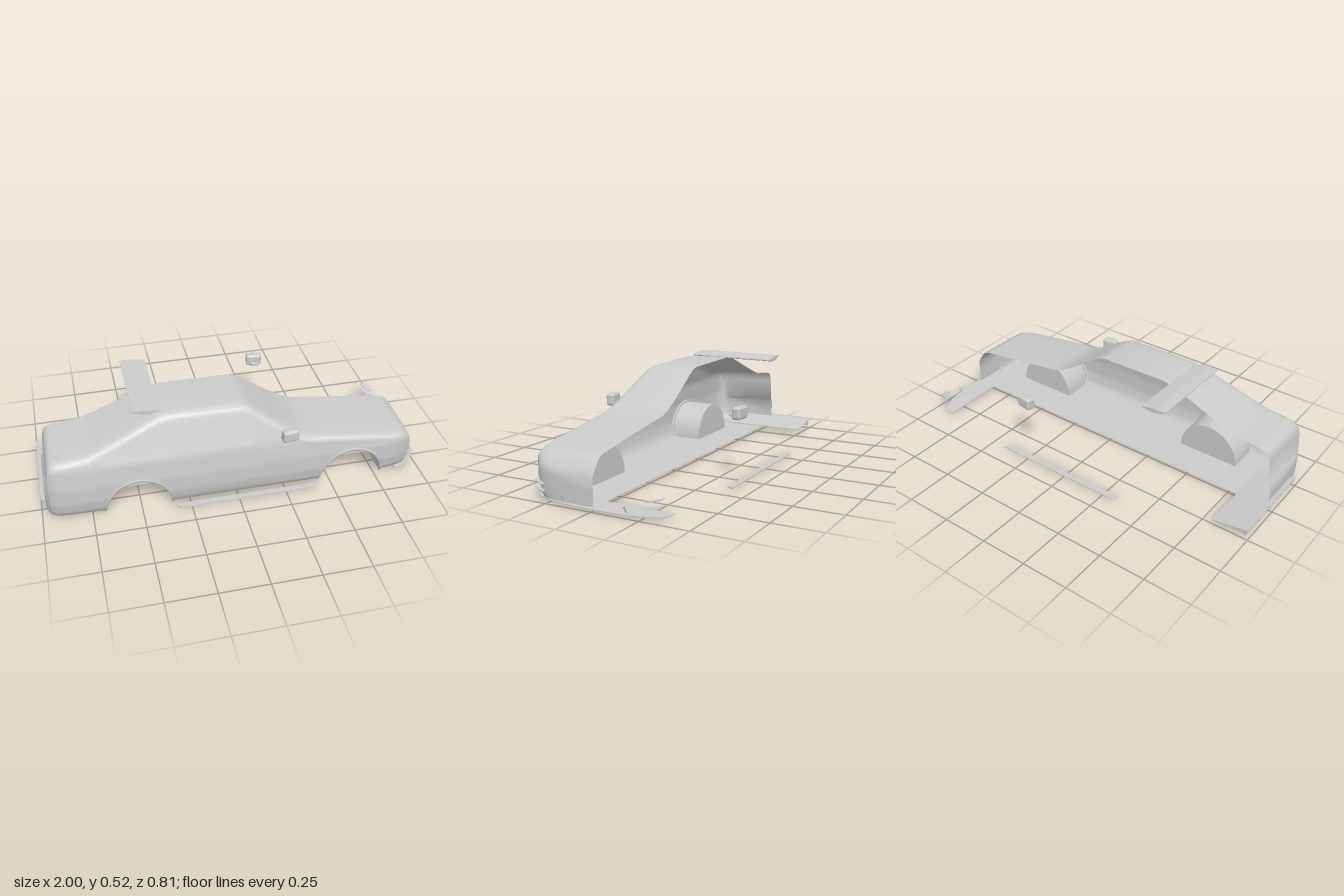
import * as THREE from 'three';
import { toCreasedNormals } from 'three/addons/utils/BufferGeometryUtils.js';
import { RoundedBoxGeometry } from 'three/addons/geometries/RoundedBoxGeometry.js';

const material = new THREE.MeshStandardMaterial({ color: 0xcccccc, side: THREE.DoubleSide });

// Body rules: centre-line height along x, plan taper along x, half width by height
const TOP = [[-0.975, 0.15], [-0.962, 0.168], [-0.953, 0.28], [-0.945, 0.315], [-0.93, 0.335], [-0.89, 0.347],
  [-0.75, 0.362], [-0.6, 0.42], [-0.45, 0.482], [-0.39, 0.506], [-0.33, 0.515], [0.03, 0.511], [0.06, 0.503],
  [0.1, 0.48], [0.2, 0.41], [0.32, 0.335], [0.38, 0.313], [0.65, 0.277], [0.89, 0.243], [0.925, 0.23],
  [0.95, 0.195], [0.965, 0.175], [0.978, 0.15]];
const PLAN = [[-0.975, 0.74], [-0.965, 0.85], [-0.95, 0.92], [-0.92, 0.965], [-0.85, 0.985], [-0.6, 1],
  [0.6, 1], [0.82, 0.985], [0.88, 0.96], [0.925, 0.92], [0.955, 0.84], [0.97, 0.72], [0.978, 0.55]];
const WIDTH = [[0.015, 0.345], [0.04, 0.362], [0.1, 0.374], [0.19, 0.374], [0.22, 0.369], [0.295, 0.36],
  [0.315, 0.352], [0.34, 0.341], [0.47, 0.29], [0.515, 0.272]];
const FLOOR = 0.015, ARCHES = [-0.512, 0.61], ARCH_R = 0.17, ARCH_H = 0.178, WELL_Z = 0.19;

function lookUp(table, v) {
  let i = 1;
  while (i < table.length - 1 && v > table[i][0]) i++;
  const [a, b] = [table[i - 1], table[i]];
  const t = THREE.MathUtils.clamp((v - a[0]) / (b[0] - a[0]), 0, 1);
  return a[1] + (b[1] - a[1]) * t;
}

// Height of the lower body edge, raised over the wheels
function lowerEdge(x) {
  for (const c of ARCHES) {
    const d = (x - c) / ARCH_R;
    if (Math.abs(d) < 1) return FLOOR + ARCH_H * Math.sqrt(1 - d * d);
  }
  return FLOOR;
}

// One half section: floor, wheel well, side, rounded shoulder, crowned top
function section(x) {
  const top = lookUp(TOP, x), plan = lookUp(PLAN, x), low = lowerEdge(x);
  const r = 0.028, edge = top - 0.01;
  const w = y => lookUp(WIDTH, y) * plan;
  const p = [[0, FLOOR], [WELL_Z, FLOOR], [WELL_Z, low]];
  for (let i = 0; i <= 24; i++) {
    const y = low + (edge - r - low) * i / 24;
    p.push([w(y), y]);
  }
  const a = [w(edge - r), edge - r], b = [w(edge), edge], c = [w(edge) - 1.5 * r, edge + 0.003];
  for (let i = 1; i <= 6; i++) {
    const t = i / 6, s = 1 - t;
    p.push([0, 1].map(k => s * s * a[k] + 2 * s * t * b[k] + t * t * c[k]));
  }
  for (let i = 1; i <= 5; i++) {
    const s = 1 - i / 5;
    p.push([c[0] * s, top - (top - c[1]) * s * s]);
  }
  return p.map(([z, y]) => new THREE.Vector3(x, y, z));
}

function bodyGeometry() {
  const xs = [...TOP, ...PLAN].map(p => p[0]);
  for (const c of ARCHES)
    for (let i = 0; i <= 28; i++) xs.push(c - ARCH_R * Math.cos(Math.PI * i / 28));
  xs.sort((a, b) => a - b);
  const rows = xs.filter((x, i) => i === 0 || x - xs[i - 1] > 1e-4).map(section);
  const out = [];
  const tri = (a, b, c) => {
    const area = b.clone().sub(a).cross(c.clone().sub(a)).length();
    if (area > 1e-9) for (const v of [a, b, c]) out.push(v.x, v.y, v.z);
  };
  for (let i = 0; i < rows.length - 1; i++)
    for (let j = 0; j < rows[i].length - 1; j++) {
      const [a, b, c, d] = [rows[i][j], rows[i + 1][j], rows[i + 1][j + 1], rows[i][j + 1]];
      tri(a, b, c);
      tri(a, c, d);
    }
  // Front and rear faces
  const first = rows[0], last = rows[rows.length - 1];
  for (let j = 0; j < first.length - 1; j++) {
    tri(new THREE.Vector3(first[0].x, 0.08, 0), first[j], first[j + 1]);
    tri(new THREE.Vector3(last[0].x, 0.08, 0), last[j + 1], last[j]);
  }
  const g = new THREE.BufferGeometry();
  g.setAttribute('position', new THREE.Float32BufferAttribute(out, 3));
  return toCreasedNormals(g, 0.7);
}

const shapeOf = pts => new THREE.Shape(pts.map(p => new THREE.Vector2(...p)));

// Flat plate from x,z corners, top at height y
function plate(pts, y, thick) {
  return new THREE.ExtrudeGeometry(shapeOf(pts), { depth: thick, bevelEnabled: false })
    .rotateX(Math.PI / 2).translate(0, y, 0);
}

// Upright part from x,y corners, centred on z
function upright(pts, z, thick) {
  return new THREE.ExtrudeGeometry(shapeOf(pts), { depth: thick, bevelEnabled: false })
    .translate(0, 0, z - thick / 2);
}

export function createModel() {
  const car = new THREE.Group();
  car.name = 'car';
  const add = (name, geometry, parent = car) => {
    const m = new THREE.Mesh(geometry, material);
    m.name = name;
    parent.add(m);
    return m;
  };

  add('bodyHalfShell', bodyGeometry());

  // Raised lips around the wheel arches
  ARCHES.forEach((c, n) => {
    const pts = [];
    for (let i = 0; i <= 20; i++) {
      const a = Math.PI * i / 20, y = FLOOR + (ARCH_H + 0.004) * Math.sin(a);
      pts.push(new THREE.Vector3(c - (ARCH_R + 0.004) * Math.cos(a), y, lookUp(WIDTH, y) - 0.003));
    }
    add(n ? 'frontArchLip' : 'rearArchLip',
      new THREE.TubeGeometry(new THREE.CatmullRomCurve3(pts), 40, 0.008, 6));
  });

  // Roof wing
  add('rearWing', upright([[-0.505, 0.523], [-0.45, 0.522], [-0.372, 0.512], [-0.372, 0.507],
    [-0.42, 0.497], [-0.46, 0.502], [-0.505, 0.518]], 0, 0.482));

  // Front splitter
  add('frontSplitter', plate([[0.872, -0.353], [0.915, -0.35], [0.95, -0.315], [0.978, -0.24], [0.992, -0.15],
    [0.998, 0], [0.992, 0.15], [0.978, 0.24], [0.95, 0.315], [0.915, 0.35], [0.872, 0.353]], 0.014, 0.005));

  // Rear diffuser, rising towards the tail, with fins below
  add('rearDiffuser', upright([[-0.805, 0.022], [-0.805, 0.027], [-1, 0.06], [-1, 0.055]], -0.005, 0.495));
  for (let i = -2; i <= 2; i++)
    add('diffuserFin', upright([[-1, 0.057], [-0.93, 0.045], [-0.93, 0.034], [-0.985, 0.015]], i * 0.12, 0.004));

  // Parts repeated on both sides
  for (const s of [1, -1]) {
    const side = new THREE.Group();
    side.name = s > 0 ? 'nearSideParts' : 'farSideParts';
    car.add(side);

    add('sideSkirt', plate([[-0.33, s * 0.372], [0.4, s * 0.372], [0.415, s * 0.405], [-0.315, s * 0.405]],
      0.011, 0.005), side);

    const mirror = new THREE.Group();
    mirror.name = 'doorMirror';
    mirror.position.set(0.265, 0.348, s * 0.369);
    mirror.rotation.y = s * 0.12;
    side.add(mirror);
    add('mirrorHousing', new RoundedBoxGeometry(0.085, 0.064, 0.046, 3, 0.013), mirror);
    add('mirrorArm', new THREE.BoxGeometry(0.04, 0.012, 0.036), mirror).position.set(0.003, -0.014, -s * 0.03);

    // Canards on the nose corner
    for (const y of [0.051, 0.083]) {
      const fin = add('canard', plate([[0.925, s * 0.347], [0.968, s * 0.345], [0.982, s * 0.283],
        [0.955, s * 0.283]], 0, 0.003), side);
      fin.position.set(0, y - 0.283 * 0.22, 0);
      fin.rotation.x = -s * 0.22;
    }

    add('splitterStrut', upright([[0.955, 0], [0.962, 0], [0.992, 0.05], [0.985, 0.055]], s * 0.168, 0.004), side);

    const pipe = add('exhaustPipe', new THREE.CylinderGeometry(0.014, 0.014, 0.035, 16, 1, true), side);
    pipe.rotation.z = Math.PI / 2;
    pipe.position.set(-0.945, 0.03, s * 0.21);
  }
  return car;
}
